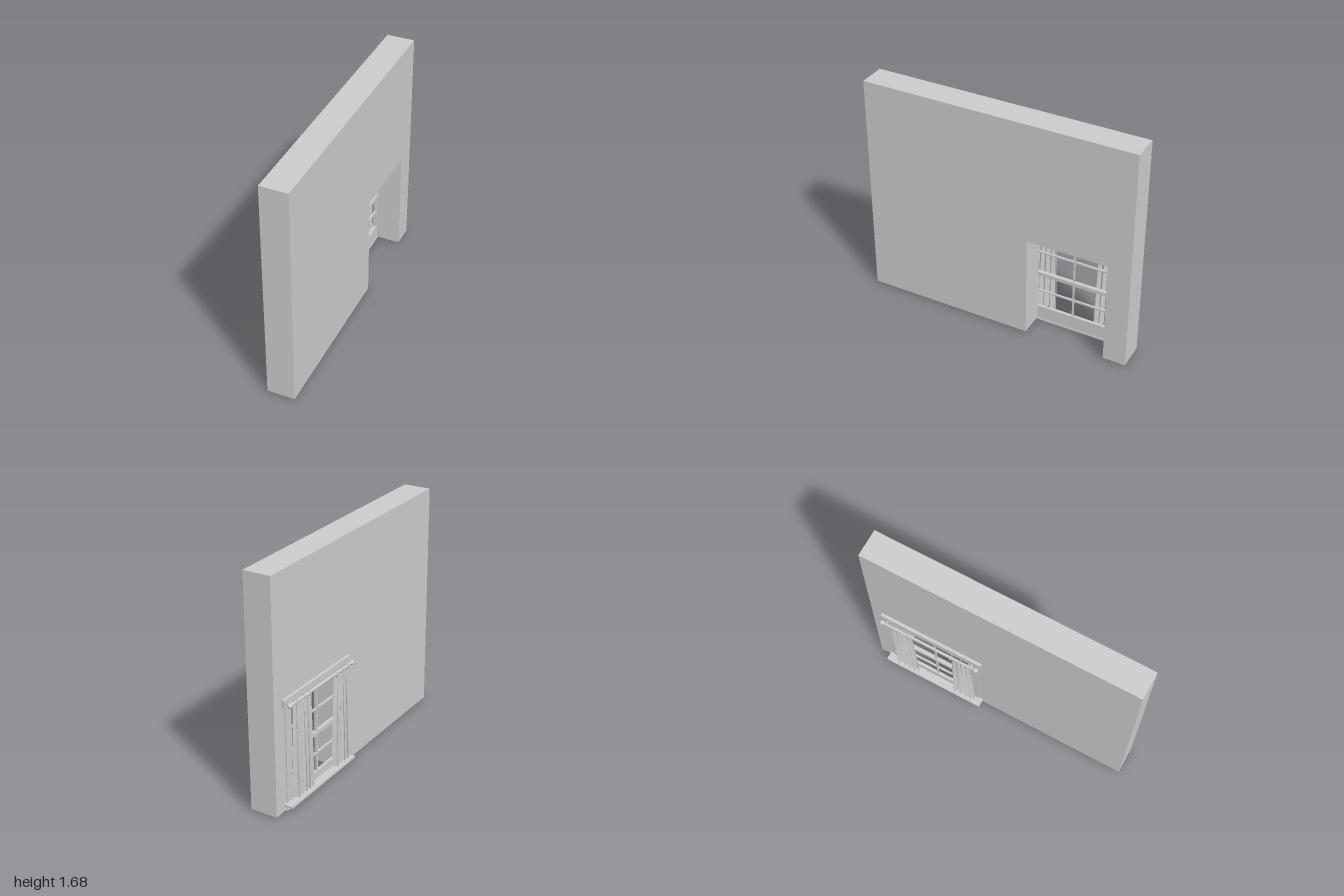
import * as THREE from 'three';

const mat = new THREE.MeshStandardMaterial({ color: 0xcccccc });
const clothMat = new THREE.MeshStandardMaterial({ color: 0xcccccc, side: THREE.DoubleSide });

// Box given by its limits on each axis
function slab(name, [x0, x1], [y0, y1], [z0, z1]) {
  const mesh = new THREE.Mesh(new THREE.BoxGeometry(x1 - x0, y1 - y0, z1 - z0), mat);
  mesh.position.set((x0 + x1) / 2, (y0 + y1) / 2, (z0 + z1) / 2);
  mesh.name = name;
  return mesh;
}

// Wall outline drawn along its length, with a notch open at the floor
function makeWall() {
  const pts = [[-1, 0.013], [0.24, 0.013], [0.24, 0.785], [0.835, 0.785],
    [0.835, 0.013], [1, 0.013], [1, 1.68], [-1, 1.68]];
  const shape = new THREE.Shape(pts.map(([x, y]) => new THREE.Vector2(x, y)));
  const geo = new THREE.ExtrudeGeometry(shape, { depth: 0.2, bevelEnabled: false });
  geo.rotateY(Math.PI / 2).translate(-0.065, 0, 0);
  const wall = new THREE.Mesh(geo, mat);
  wall.name = 'wall';
  return wall;
}

// Sash bars, casing, header and sill
function makeWindow() {
  const g = new THREE.Group();
  g.name = 'window';
  const across = [-0.835, -0.205];
  g.add(
    slab('topRail', [-0.068, -0.045], [0.75, 0.784], across),
    slab('meetingRail', [-0.068, -0.04], [0.392, 0.42], across),
    slab('bottomRail', [-0.068, -0.045], [0.06, 0.12], across),
    slab('verticalMuntin', [-0.064, -0.052], [0.06, 0.77], [-0.516, -0.504]),
    slab('header', [-0.087, -0.065], [0.765, 0.825], [-0.915, -0.13]),
    slab('sill', [-0.13, -0.045], [0.052, 0.066], [-0.915, -0.13]),
    slab('apron', [-0.071, -0.045], [0.003, 0.052], [-0.885, -0.15]),
    slab('apronMoulding', [-0.071, -0.04], [0.003, 0.016], [-0.885, -0.15]),
  );
  for (const y of [0.255, 0.585]) {
    g.add(slab('horizontalMuntin', [-0.064, -0.05], [y - 0.006, y + 0.006], across));
  }
  for (const [a, b] of [[-0.885, -0.818], [-0.222, -0.155]]) {
    g.add(slab('sideCasing', [-0.072, -0.064], [0.05, 0.77], [a, b]));
  }
  g.add(slab('stile', [-0.068, -0.045], [0.02, 0.77], [-0.835, -0.818]));
  return g;
}

const ROD_X = -0.113, ROD_Y = 0.787;

// Rod with ball ends, wall brackets and curtain rings
function makeRod() {
  const g = new THREE.Group();
  g.name = 'curtainRod';
  const rod = new THREE.Mesh(new THREE.CylinderGeometry(0.01, 0.01, 0.74, 16).rotateX(Math.PI / 2), mat);
  rod.position.set(ROD_X, ROD_Y, -0.522);
  rod.name = 'rod';
  g.add(rod);
  for (const side of [-1, 1]) {
    const z = -0.522 + side * 0.37;
    const ball = new THREE.Mesh(new THREE.SphereGeometry(0.019, 16, 12), mat);
    ball.position.set(ROD_X, ROD_Y, z);
    ball.name = 'finial';
    const zb = z - side * 0.035;
    g.add(ball, slab('bracket', [ROD_X, -0.08], [ROD_Y - 0.006, ROD_Y + 0.006], [zb - 0.005, zb + 0.005]));
  }
  for (const z of [-0.83, -0.73, -0.67, -0.345, -0.275, -0.21]) {
    const ring = new THREE.Mesh(new THREE.TorusGeometry(0.017, 0.003, 8, 20), mat);
    ring.position.set(ROD_X, ROD_Y - 0.003, z);
    ring.name = 'curtainRing';
    g.add(ring);
  }
  return g;
}

// Pleated cloth: the folds deepen and the hem widens towards the bottom
function makeCurtain(name, top, bottom, phase) {
  const geo = new THREE.PlaneGeometry(1, 1, 90, 24);
  const p = geo.attributes.position;
  for (let i = 0; i < p.count; i++) {
    const u = p.getX(i) + 0.5, v = 0.5 - p.getY(i);
    const a = THREE.MathUtils.lerp(top[0], bottom[0], v);
    const b = THREE.MathUtils.lerp(top[1], bottom[1], v);
    const depth = 0.009 + 0.016 * Math.pow(v, 0.7);
    const t = u * Math.PI * 9 + phase + 0.5 * Math.sin(v * 2.5 + u * 4);
    const x = -0.105 + 0.003 * v + depth * (0.85 * Math.sin(t) + 0.15 * Math.sin(2.3 * t + 1));
    const z = a + (b - a) * u + 0.006 * Math.sin(2 * t);
    const sag = 0.01 * (1 - v) * Math.pow(Math.sin(u * Math.PI * 2), 2);
    p.setXYZ(i, x, 0.775 - 0.69 * v - sag, z);
  }
  geo.computeVertexNormals();
  const mesh = new THREE.Mesh(geo, clothMat);
  mesh.name = name;
  return mesh;
}

export function createModel() {
  const model = new THREE.Group();
  model.name = 'wallWithWindow';
  model.add(
    makeWall(), makeWindow(), makeRod(),
    makeCurtain('curtainNear', [-0.355, -0.2], [-0.37, -0.175], 0.4),
    makeCurtain('curtainFar', [-0.84, -0.655], [-0.835, -0.645], 1.3),
  );
  return model;
}
